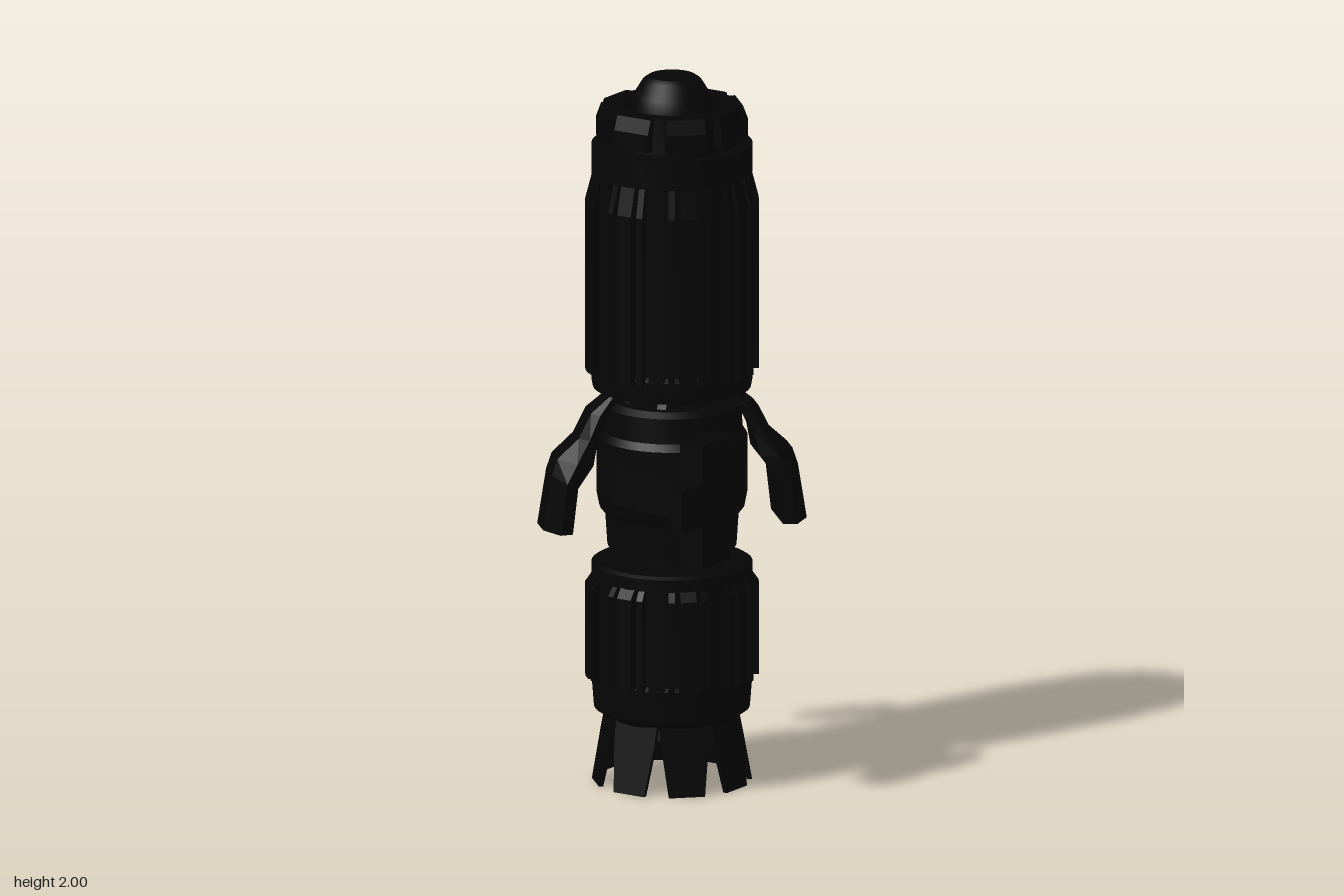
import * as THREE from 'three';
import { toCreasedNormals } from 'three/addons/utils/BufferGeometryUtils.js';

const black = new THREE.MeshStandardMaterial({ color: 0x050505, side: THREE.DoubleSide });
black.name = 'matte black';

const add = (parent, name, geometry) => {
  const mesh = new THREE.Mesh(geometry, black);
  mesh.name = name;
  parent.add(mesh);
  return mesh;
};

// Turned part from [radius, height] points, listed bottom to top
const turned = (points) => toCreasedNormals(
  new THREE.LatheGeometry(points.map(([r, y]) => new THREE.Vector2(r, y)), 40), 0.5);

// Side profile [radius, height] extruded to a width, centred on z = 0
const slab = (points, width) => {
  const shape = new THREE.Shape(points.map(([x, y]) => new THREE.Vector2(x, y)));
  return new THREE.ExtrudeGeometry(shape, { depth: width, bevelEnabled: false })
    .translate(0, 0, -width / 2);
};

// Plan outline [x, z] raised between two heights
const prism = (outline, y0, y1) => {
  const shape = new THREE.Shape(outline.map(([x, z]) => new THREE.Vector2(x, -z)));
  return new THREE.ExtrudeGeometry(shape, { depth: y1 - y0, bevelEnabled: false })
    .rotateX(-Math.PI / 2).translate(0, y0, 0);
};

// Hexagonal cross-sections: inner [z, y], outer [z, y], half-widths inner, middle, outer
function loft(sections) {
  const pos = [], index = [];
  for (const [[zi, yi], [zo, yo], wi, wm, wo] of sections) {
    const zm = (zi + zo) / 2, ym = (yi + yo) / 2;
    pos.push(-wi, yi, zi, wi, yi, zi, wm, ym, zm, wo, yo, zo, -wo, yo, zo, -wm, ym, zm);
  }
  const last = (sections.length - 1) * 6;
  for (let s = 0; s < last; s += 6) {
    for (let j = 0; j < 6; j++) {
      const a = s + j, b = s + (j + 1) % 6;
      index.push(a, b, a + 6, b, b + 6, a + 6);
    }
  }
  for (let k = 1; k < 5; k++) {
    index.push(0, k + 1, k, last, last + k, last + k + 1);
  }
  const g = new THREE.BufferGeometry();
  g.setAttribute('position', new THREE.Float32BufferAttribute(pos, 3));
  g.setIndex(index);
  const flat = g.toNonIndexed();
  flat.computeVertexNormals();
  return flat;
}

// Eight groups of three raised ribs, with pillars between the groups
function ribs(parent, name, y0, y1, taper) {
  const profile = (r) => [[0.19, y0], [r, y0], [r, y1 - taper], [0.218, y1], [0.19, y1]];
  const rib = slab(profile(0.239), 0.018);
  const wideRib = slab(profile(0.239), 0.045);
  const pillar = slab([[0.19, y0], [0.221, y0], [0.221, y1], [0.19, y1]], 0.045);
  for (let i = 0; i < 8; i++) {
    const a = i * Math.PI / 4;
    add(parent, name + 'WideRib', wideRib).rotation.y = a;
    for (const s of [-1, 1]) add(parent, name + 'Rib', rib).rotation.y = a + s * 0.2;
    add(parent, name + 'Pillar', pillar).rotation.y = a + Math.PI / 8;
  }
}

export function createModel() {
  const model = new THREE.Group();
  model.name = 'spacecraft';
  const hull = new THREE.Group();
  hull.name = 'hull';
  hull.position.z = -0.05;
  model.add(hull);

  // Long upper hull
  add(hull, 'upperHull', turned([[0, 1.12], [0.218, 1.12], [0.222, 1.14], [0.222, 1.18],
    [0.207, 1.19], [0.207, 1.72], [0.222, 1.73], [0.222, 1.81], [0.175, 1.81],
    [0.175, 1.83], [0, 1.83]]));
  ribs(hull, 'upper', 1.17, 1.73, 0.08);

  // Crown ring, its blocks and the nose
  add(hull, 'crown', turned([[0.135, 1.82], [0.188, 1.82], [0.18, 1.92], [0.135, 1.92], [0.135, 1.82]]));
  const block = slab([[0.15, 1.83], [0.203, 1.83], [0.203, 1.88], [0.188, 1.92], [0.15, 1.92]], 0.11);
  for (let i = 0; i < 8; i++) add(hull, 'crownBlock', block).rotation.y = i * Math.PI / 4;
  add(hull, 'nose', turned([[0.12, 1.82], [0.12, 1.91], [0.105, 1.95], [0.08, 1.99], [0.065, 2], [0, 2]]));

  // Waist between the two hulls
  add(hull, 'waist', turned([[0.12, 0.6], [0.12, 0.67], [0.178, 0.67], [0.184, 0.76],
    [0.2, 0.78], [0.208, 0.82], [0.208, 0.98], [0.195, 1.0], [0.19, 1.07], [0.17, 1.085],
    [0.11, 1.09], [0.11, 1.13]]));

  // Lower hull
  add(hull, 'lowerHull', turned([[0, 0.18], [0.17, 0.18], [0.215, 0.21], [0.222, 0.3],
    [0.207, 0.31], [0.207, 0.575], [0.222, 0.585], [0.222, 0.62], [0.21, 0.627], [0, 0.627]]));
  ribs(hull, 'lower', 0.3, 0.59, 0.03);

  // Flared skirt of eight petals
  add(hull, 'skirt', turned([[0.175, 0.15], [0.165, 0.21]]));
  const petal = new THREE.Shape([[-0.068, 0.2], [-0.066, 0.14], [-0.05, 0], [0.05, 0],
    [0.066, 0.14], [0.068, 0.2]].map(([x, y]) => new THREE.Vector2(x, y)));
  const petalGeometry = new THREE.ExtrudeGeometry(petal, { depth: 0.012, bevelEnabled: false });
  const p = petalGeometry.attributes.position;
  for (let i = 0; i < p.count; i++) p.setZ(i, p.getZ(i) + 0.203 - 0.2 * p.getY(i));
  petalGeometry.computeVertexNormals();
  for (let i = 0; i < 8; i++) add(hull, 'petal', petalGeometry).rotation.y = i * Math.PI / 4;

  // Three bent arms hanging from the waist
  const arm = loft([
    [[0.13, 1.09], [0.15, 1.13], 0.03, 0.03, 0.03],
    [[0.19, 1.05], [0.235, 1.06], 0.045, 0.055, 0.04],
    [[0.22, 0.99], [0.27, 0.99], 0.06, 0.07, 0.04],
    [[0.235, 0.92], [0.33, 0.935], 0.075, 0.085, 0.04],
    [[0.28, 0.86], [0.345, 0.89], 0.085, 0.095, 0.042],
    [[0.295, 0.73], [0.37, 0.735], 0.085, 0.1, 0.042],
  ]);
  for (const a of [3, 5, 7]) add(hull, 'arm', arm).rotation.y = a * Math.PI / 4;

  // Slim struts from the upper hull to the waist
  const strut = slab([[0.1, 1.12], [0.125, 1.12], [0.19, 1.03], [0.17, 1.03]], 0.025);
  for (let i = 0; i < 8; i++) add(hull, 'strut', strut).rotation.y = (i + 0.5) * Math.PI / 4;

  // Side pod: bracket, tall housing and forward prong
  const pod = new THREE.Group();
  pod.name = 'sidePod';
  model.add(pod);
  add(pod, 'podBracket', prism([[-0.04, 0.14], [-0.04, 0.19], [-0.025, 0.21], [0.05, 0.21],
    [0.065, 0.235], [0.23, 0.235], [0.23, 0.075], [0.19, -0.03], [0.1, 0]], 0.83, 0.95));
  add(pod, 'podHousing', prism([[0.22, 0.075], [0.27, 0.075], [0.295, 0.1], [0.295, 0.24],
    [0.22, 0.24]], 0.7, 1.05));
  add(pod, 'podProng', prism([[0.22, 0.23], [0.295, 0.23], [0.295, 0.345], [0.26, 0.345],
    [0.22, 0.245]], 0.82, 0.94));
  for (const y of [0.85, 0.92]) {
    const rail = add(pod, 'podRail', new THREE.BoxGeometry(0.15, 0.02, 0.008));
    rail.position.set(0.145, y, 0.237);
  }

  return model;
}
